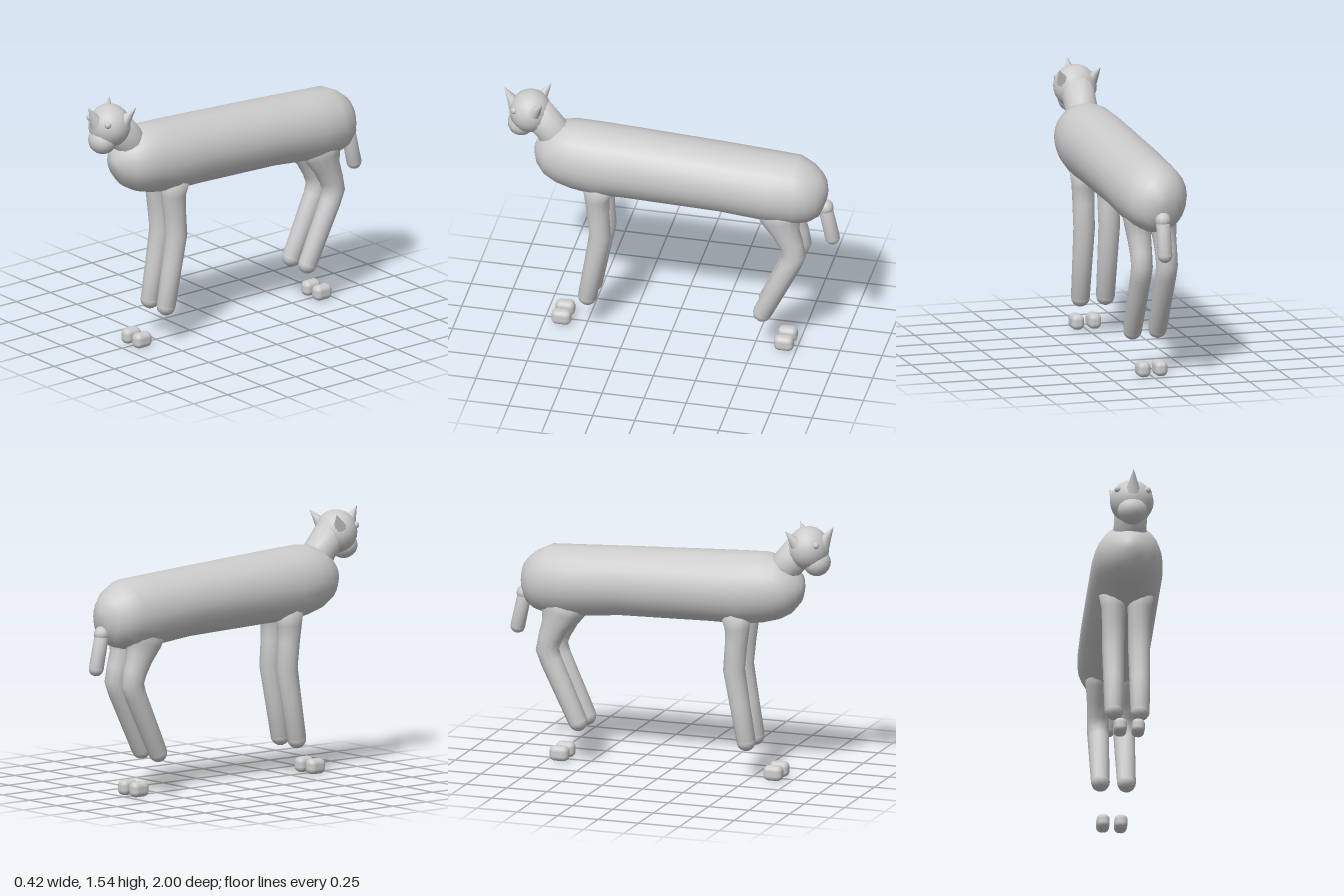
import * as THREE from 'three';
import { RoundedBoxGeometry } from 'three/addons/geometries/RoundedBoxGeometry.js';

const material = new THREE.MeshStandardMaterial({ color: 0xcccccc });

function add(parent, name, geometry, x = 0, y = 0, z = 0) {
  const mesh = new THREE.Mesh(geometry, material);
  mesh.name = name;
  mesh.position.set(x, y, z);
  parent.add(mesh);
  return mesh;
}

// Skin over elliptical sections [y, z, halfWidth, halfDepth]; rings follow the path unless dir is fixed
function loft(sections, sides, dir) {
  const path = sections.map(([y, z]) => new THREE.Vector3(0, y, z));
  const last = sections.length - 1;
  const u = new THREE.Vector3(1, 0, 0);
  const pos = [], index = [];
  const ring = (i, scale) => {
    const t = dir ?? path[Math.min(i + 1, last)].clone().sub(path[Math.max(i - 1, 0)]).normalize();
    const v = t.clone().cross(u);
    for (let j = 0; j < sides; j++) {
      const a = (j / sides) * Math.PI * 2;
      const p = path[i].clone()
        .addScaledVector(u, Math.cos(a) * sections[i][2] * scale)
        .addScaledVector(v, Math.sin(a) * sections[i][3] * scale);
      pos.push(p.x, p.y, p.z);
    }
  };
  ring(0, 0);
  sections.forEach((_, i) => ring(i, 1));
  ring(last, 0);
  for (let i = 0; i < last + 2; i++) {
    for (let j = 0; j < sides; j++) {
      const k = (j + 1) % sides;
      const a = i * sides + j, b = i * sides + k, c = b + sides, d = a + sides;
      index.push(a, b, c, a, c, d);
    }
  }
  const g = new THREE.BufferGeometry();
  g.setAttribute('position', new THREE.Float32BufferAttribute(pos, 3));
  g.setIndex(index);
  g.computeVertexNormals();
  return g;
}

// Cone from a base point to a tip point
function spike(parent, name, base, tip, radius) {
  const from = new THREE.Vector3(...base), to = new THREE.Vector3(...tip);
  const axis = to.clone().sub(from);
  const mid = from.clone().add(to).multiplyScalar(0.5);
  const mesh = add(parent, name, new THREE.ConeGeometry(radius, axis.length(), 10), mid.x, mid.y, mid.z);
  mesh.quaternion.setFromUnitVectors(new THREE.Vector3(0, 1, 0), axis.normalize());
}

export function createModel() {
  const model = new THREE.Group();
  model.name = 'animal';

  // Long barrel body: z, bottom, top, half width
  const barrel = [
    [-0.925, 1.05, 1.11, 0.025], [-0.91, 0.98, 1.16, 0.075], [-0.88, 0.92, 1.2, 0.12],
    [-0.83, 0.89, 1.24, 0.165], [-0.75, 0.87, 1.28, 0.195], [-0.6, 0.87, 1.288, 0.206],
    [-0.3, 0.9, 1.305, 0.21], [0.25, 0.915, 1.335, 0.21], [0.45, 0.915, 1.345, 0.21],
    [0.58, 0.935, 1.35, 0.2], [0.67, 0.96, 1.335, 0.18], [0.74, 1.0, 1.29, 0.145],
    [0.79, 1.06, 1.24, 0.09], [0.812, 1.12, 1.18, 0.03],
  ];
  const bodySections = barrel.map(([z, lo, hi, w]) => [(lo + hi) / 2, z, w, (hi - lo) / 2]);
  add(model, 'body', loft(bodySections, 24, new THREE.Vector3(0, 0, 1)));

  // Neck and head
  add(model, 'neck', loft([[1.2, 0.66, 0.11, 0.115], [1.3, 0.72, 0.095, 0.095], [1.4, 0.81, 0.1, 0.1]], 14));
  const head = new THREE.Group();
  head.name = 'head';
  model.add(head);
  const skull = add(head, 'skull', new THREE.SphereGeometry(0.125, 18, 14), 0, 1.4, 0.842);
  skull.scale.set(1.02, 1.02, 0.98);
  const muzzle = add(head, 'muzzle', new THREE.SphereGeometry(0.08, 16, 12), 0, 1.318, 0.895);
  muzzle.scale.set(1.1, 1, 1);
  spike(head, 'horn', [0, 1.42, 0.925], [0, 1.54, 0.998], 0.05);

  // Legs: y, z, half width, half depth, from the body down to the ankle
  const frontLeg = [
    [1.0, 0.42, 0.085, 0.1], [0.9, 0.43, 0.068, 0.075], [0.8, 0.423, 0.066, 0.067],
    [0.65, 0.41, 0.064, 0.065], [0.45, 0.445, 0.06, 0.06], [0.225, 0.485, 0.056, 0.056],
  ];
  const backLeg = [
    [1.0, -0.65, 0.085, 0.17], [0.9, -0.665, 0.075, 0.12], [0.82, -0.695, 0.068, 0.085],
    [0.74, -0.728, 0.065, 0.073], [0.67, -0.745, 0.064, 0.07], [0.6, -0.72, 0.062, 0.064],
    [0.25, -0.555, 0.055, 0.056],
  ];
  for (const [side, s] of [['left', 1], ['right', -1]]) {
    for (const [end, sections, pawZ] of [['Front', frontLeg, 0.645], ['Back', backLeg, -0.678]]) {
      const leg = new THREE.Group();
      leg.name = side + end + 'Leg';
      leg.position.x = s * 0.076;
      model.add(leg);
      add(leg, 'limb', loft(sections, 12));
      const [y, z, r] = sections.at(-1);
      add(leg, 'ankle', new THREE.SphereGeometry(r, 12, 10), 0, y, z);
      // Paws sit apart from the legs
      add(model, side + end + 'Paw', new RoundedBoxGeometry(0.076, 0.09, 0.115, 3, 0.032), s * 0.052, 0.045, pawZ);
    }
    // Ears and eyes
    spike(head, side + 'Ear', [s * 0.085, 1.44, 0.8], [s * 0.126, 1.522, 0.744], 0.04);
    add(head, side + 'Eye', new THREE.SphereGeometry(0.02, 10, 8), s * 0.086, 1.44, 0.92);
  }

  // Short hanging tail
  const tail = new THREE.Group();
  tail.name = 'tail';
  model.add(tail);
  add(tail, 'tailBase', new THREE.SphereGeometry(0.046, 12, 10), 0, 0.975, -0.915);
  add(tail, 'tailShaft', loft([[0.975, -0.912, 0.042, 0.042], [0.775, -0.955, 0.044, 0.044]], 12));
  add(tail, 'tailTip', new THREE.SphereGeometry(0.044, 12, 10), 0, 0.775, -0.955);

  return model;
}
